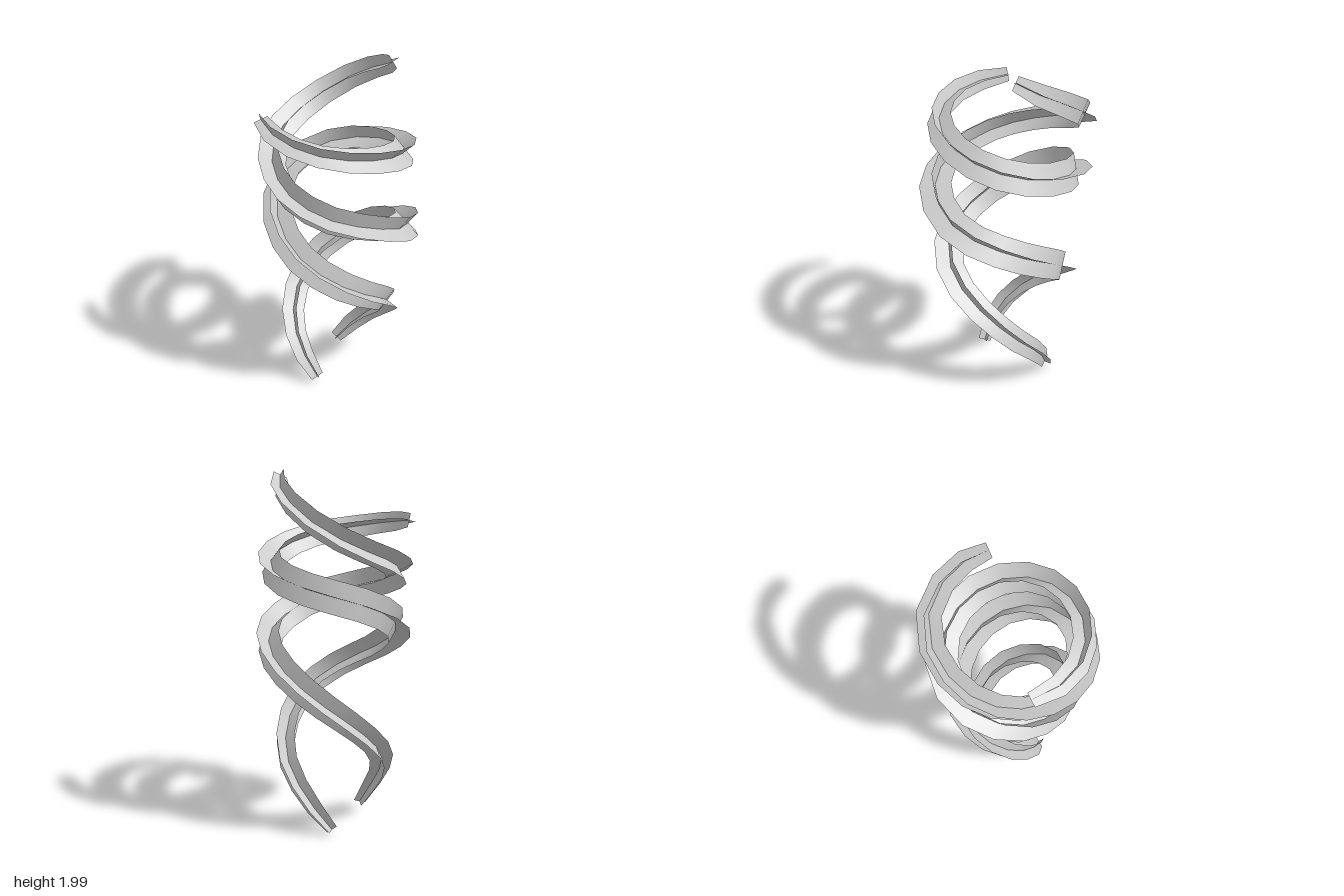
import * as THREE from 'three';

const SEGMENTS = 28;

// Spine stations: [angle in degrees (0 = back, 90 = +x, 180 = front), radius, height]
// roll: turn of the cross-section about the spine at start and end, in degrees
const STRANDS = {
  lowStrand: {
    roll: [-20, 0],
    stations: [
      [23, 0.243, 0.03], [90, 0.276, 0.37], [135, 0.29, 0.58], [180, 0.32, 0.765], [270, 0.325, 1.042],
      [360, 0.385, 1.315], [450, 0.357, 1.465], [540, 0.342, 1.612], [625, 0.385, 1.702], [648, 0.405, 1.72],
    ],
  },
  highStrand: {
    roll: [-25, 20],
    stations: [
      [246, 0.2, 0.05], [270, 0.237, 0.2], [360, 0.317, 0.635], [450, 0.358, 0.988], [510, 0.39, 1.15],
      [540, 0.385, 1.235], [630, 0.348, 1.4], [720, 0.4, 1.605], [747, 0.425, 1.71], [777, 0.38, 1.84],
      [816, 0.297, 1.967],
    ],
  },
};

// Sample the spine in polar terms, evenly by angle, and return it in space
function spinePoints(stations) {
  const curve = new THREE.CatmullRomCurve3(
    stations.map(([a, r, y]) => new THREE.Vector3(a / 180, r, y)), false, 'centripetal');
  const fine = curve.getPoints(400);
  const first = fine[0].x, last = fine[fine.length - 1].x;
  const points = [];
  for (let i = 0, j = 0; i <= SEGMENTS; i++) {
    const a = first + (last - first) * i / SEGMENTS;
    while (j < fine.length - 1 && fine[j].x < a - 1e-6) j++;
    const { y: r, z: h } = fine[j];
    points.push(new THREE.Vector3(r * Math.sin(a * Math.PI), h, -r * Math.cos(a * Math.PI)));
  }
  return points;
}

// Two width directions per point: radial at the start, carried along the spine, then rolled
function carriedFrames(points, roll) {
  const first = [], second = [];
  const direction = new THREE.Vector3(points[0].x, 0, points[0].z).normalize();
  const previous = new THREE.Vector3(), turn = new THREE.Quaternion();
  points.forEach((p, i) => {
    const tangent = points[Math.min(i + 1, SEGMENTS)].clone()
      .sub(points[Math.max(i - 1, 0)]).normalize();
    if (i > 0) direction.applyQuaternion(turn.setFromUnitVectors(previous, tangent));
    direction.addScaledVector(tangent, -direction.dot(tangent)).normalize();
    const angle = THREE.MathUtils.degToRad(THREE.MathUtils.lerp(roll[0], roll[1], i / SEGMENTS));
    const rolled = direction.clone().applyAxisAngle(tangent, angle);
    first.push(rolled);
    second.push(new THREE.Vector3().crossVectors(tangent, rolled));
    previous.copy(tangent);
  });
  return [first, second];
}

// Flat band centred on the spine, narrower at its ends; "across" gives its width direction
function bandGeometry(points, across) {
  const positions = [], index = [];
  points.forEach((p, i) => {
    const half = 0.039 + 0.05 * Math.sqrt(Math.max(0, Math.sin(Math.PI * i / SEGMENTS)));
    for (const side of [-1, 0, 1]) {
      positions.push(...p.clone().addScaledVector(across[i], side * half).toArray());
    }
    if (i === 0) return;
    for (let k = 0; k < 2; k++) {
      const a = (i - 1) * 3 + k, b = i * 3 + k;
      index.push(a, b, a + 1, b, b + 1, a + 1);
    }
  });
  const geometry = new THREE.BufferGeometry();
  geometry.setAttribute('position', new THREE.Float32BufferAttribute(positions, 3));
  geometry.setIndex(index);
  geometry.computeVertexNormals();
  return geometry;
}

export function createModel() {
  const model = new THREE.Group();
  model.name = 'doubleSpiral';
  const material = new THREE.MeshStandardMaterial({ color: 0xcccccc, side: THREE.DoubleSide });

  // Each strand is two bands crossing at right angles along the spine
  for (const [name, { roll, stations }] of Object.entries(STRANDS)) {
    const points = spinePoints(stations);
    const strand = new THREE.Group();
    strand.name = name;
    carriedFrames(points, roll).forEach((across, i) => {
      const band = new THREE.Mesh(bandGeometry(points, across), material);
      band.name = ['firstBand', 'crossBand'][i];
      strand.add(band);
    });
    model.add(strand);
  }
  return model;
}
